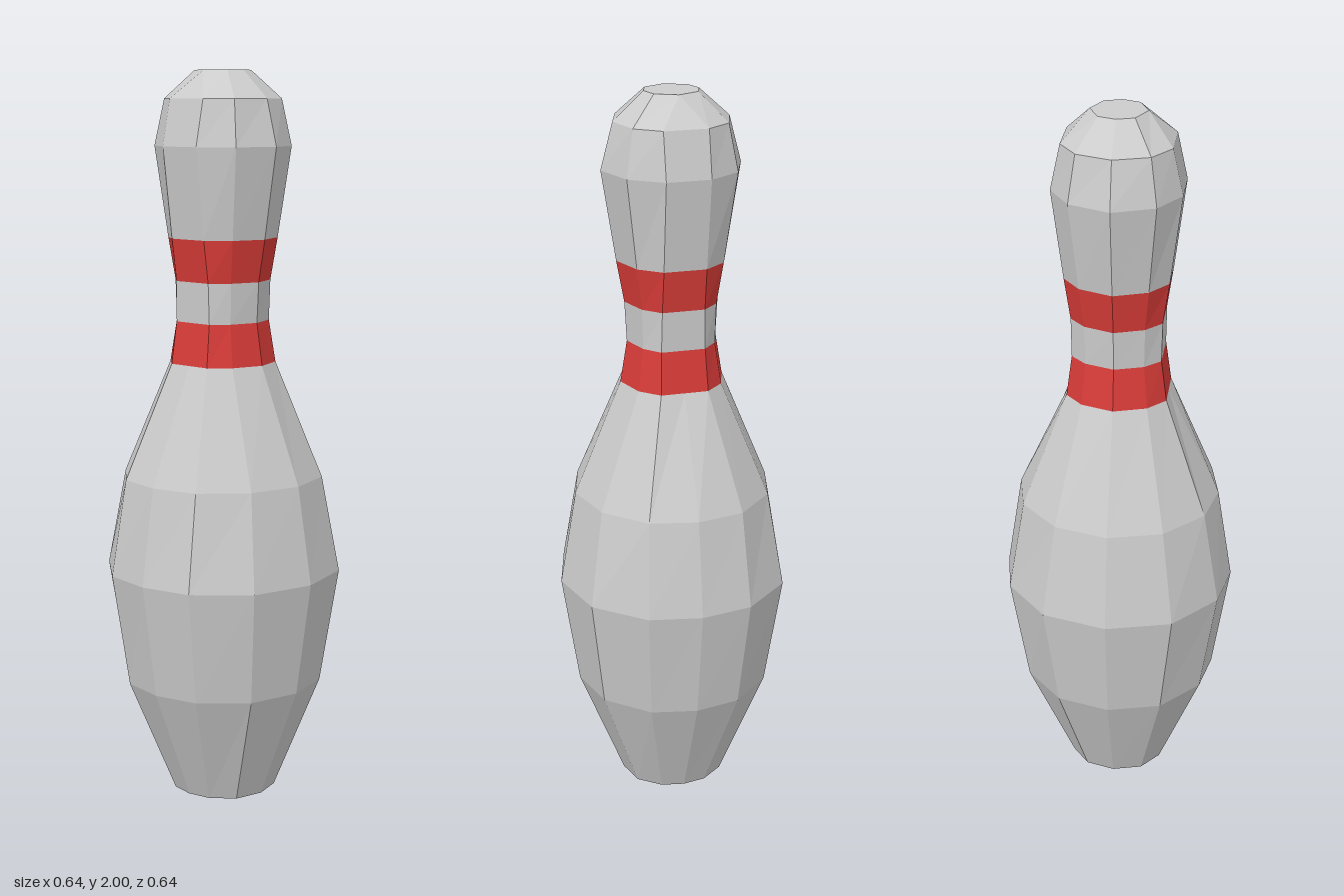
import * as THREE from 'three';

// Cross-sections from floor to crown, one quarter each:
// y, front point z, two corner points (x, z), side point x
const SECTIONS = [
  [0.00, 0.145, 0.080, 0.124, 0.128, 0.064, 0.140],
  [0.32, 0.272, 0.145, 0.235, 0.247, 0.125, 0.272],
  [0.635, 0.320, 0.178, 0.274, 0.293, 0.144, 0.320],
  [0.90, 0.274, 0.147, 0.235, 0.250, 0.130, 0.278],
  [1.215, 0.143, 0.088, 0.115, 0.135, 0.065, 0.135],
  [1.33, 0.124, 0.078, 0.099, 0.120, 0.060, 0.120],
  [1.44, 0.130, 0.080, 0.102, 0.122, 0.058, 0.122],
  [1.555, 0.151, 0.091, 0.118, 0.139, 0.058, 0.139],
  [1.80, 0.190, 0.112, 0.148, 0.170, 0.060, 0.170],
  [1.925, 0.157, 0.095, 0.127, 0.143, 0.060, 0.143],
  [2.00, 0.074, 0.047, 0.059, 0.075, 0.000, 0.075],
];

// Mirror a quarter section into a full ring, running from +z towards +x
function ring([y, z0, x1, z1, x2, z2, x3]) {
  const half = [[0, z0], [x1, z1], [x2, z2], [x3, 0], [x2, -z2], [x1, -z1]];
  return [...half, ...half.map(([x, z]) => [-x, -z])]
    .map(([x, z]) => new THREE.Vector3(x, y, z));
}

// Skin a run of sections, closing the bottom or top where asked
function skin(from, to, { bottom = false, top = false } = {}) {
  const rings = SECTIONS.slice(from, to + 1).map(ring);
  const points = [];
  const triangle = (a, b, c) => {
    const area = b.clone().sub(a).cross(c.clone().sub(a)).length();
    if (area > 1e-7) points.push(a, b, c); // skip merged corners
  };
  for (let r = 0; r < rings.length - 1; r++) {
    const lower = rings[r], upper = rings[r + 1];
    for (let i = 0; i < lower.length; i++) {
      const j = (i + 1) % lower.length;
      triangle(lower[i], lower[j], upper[j]);
      triangle(lower[i], upper[j], upper[i]);
    }
  }
  const first = rings[0], last = rings[rings.length - 1];
  for (let i = 1; i < first.length - 1; i++) {
    if (bottom) triangle(first[0], first[i + 1], first[i]);
    if (top) triangle(last[0], last[i], last[i + 1]);
  }
  const geometry = new THREE.BufferGeometry().setFromPoints(points);
  geometry.computeVertexNormals();
  return geometry;
}

export function createModel() {
  const grey = new THREE.MeshStandardMaterial({ color: 0xcccccc, flatShading: true });
  const red = new THREE.MeshStandardMaterial({ color: 0xd83c38, flatShading: true });
  const pin = new THREE.Group();
  pin.name = 'bowlingPin';

  const parts = [
    ['body', 0, 4, grey, { bottom: true }],
    ['lowerStripe', 4, 5, red],
    ['neck', 5, 6, grey],
    ['upperStripe', 6, 7, red],
    ['head', 7, 10, grey, { top: true }],
  ];
  for (const [name, from, to, material, caps] of parts) {
    const mesh = new THREE.Mesh(skin(from, to, caps), material);
    mesh.name = name;
    pin.add(mesh);
  }
  return pin;
}
